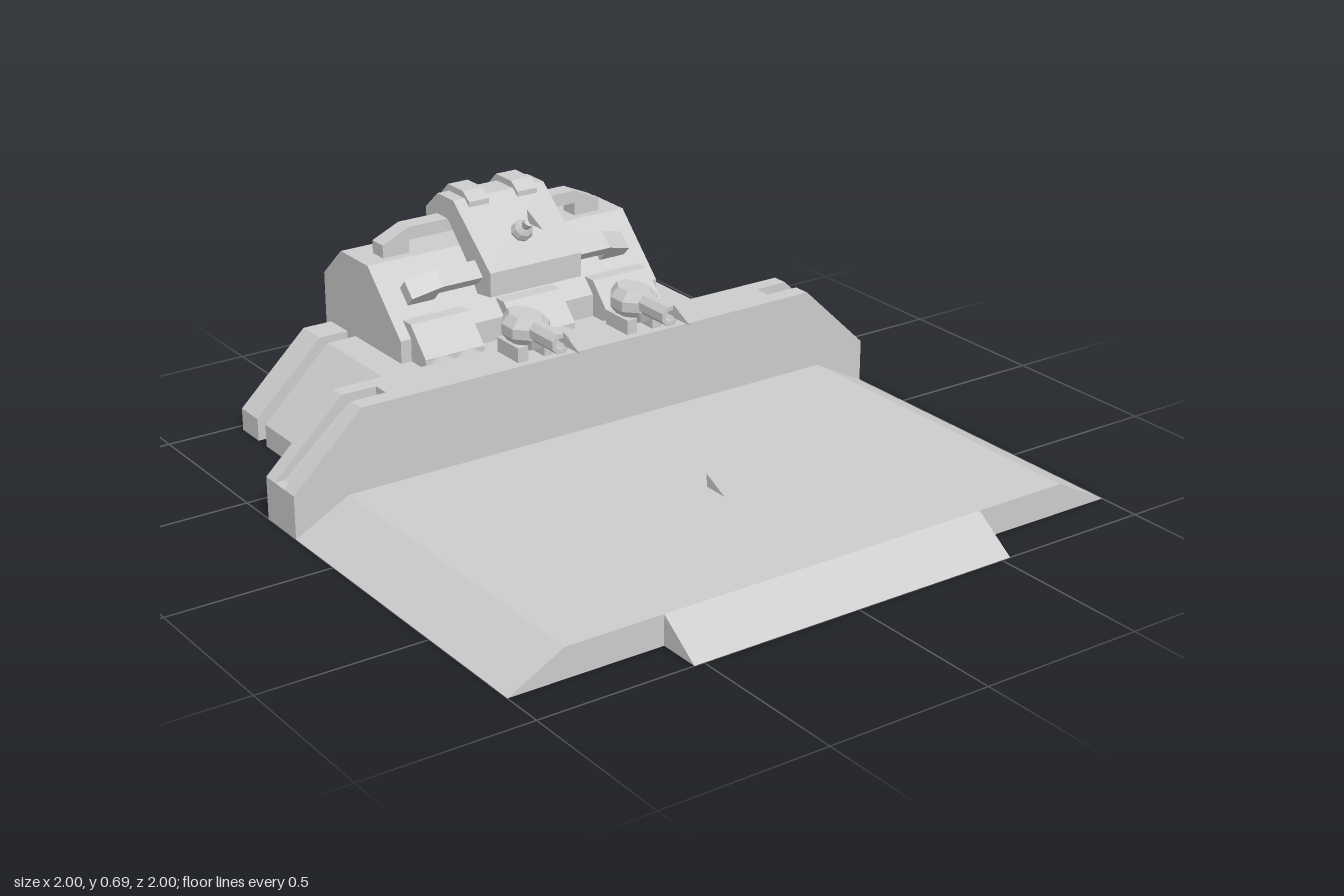
import * as THREE from 'three';

const mat = new THREE.MeshStandardMaterial({ color: 0xcccccc, flatShading: true, side: THREE.DoubleSide });
const smooth = new THREE.MeshStandardMaterial({ color: 0xcccccc, side: THREE.DoubleSide });
const shape = (pts) => new THREE.Shape(pts.map(([a, b]) => new THREE.Vector2(a, b)));
const mirror = (half) => [...half, ...half.map(([x, y]) => [-x, y]).reverse()];

// Profile in (x, y), extruded from z0 to z1
function alongZ(pts, z0, z1) {
  return new THREE.ExtrudeGeometry(shape(pts), { depth: z1 - z0, bevelEnabled: false }).translate(0, 0, z0);
}

// Profile in (z, y), extruded from x0 to x1
function alongX(pts, x0, x1) {
  return new THREE.ExtrudeGeometry(shape(pts), { depth: x1 - x0, bevelEnabled: false })
    .rotateY(-Math.PI / 2).translate(x1, 0, 0);
}

// Flat panel in the xy plane at depth z
const panel = (pts, z) => new THREE.ShapeGeometry(shape(pts)).translate(0, 0, z);

// Leaves out every triangle whose three corners satisfy one of the tests
function without(geo, ...tests) {
  const p = geo.getAttribute('position').array, kept = [];
  for (let i = 0; i < p.length; i += 9) {
    const tri = [0, 3, 6].map((k) => new THREE.Vector3(p[i + k], p[i + k + 1], p[i + k + 2]));
    if (!tests.some((t) => tri.every(t))) kept.push(...p.slice(i, i + 9));
  }
  const out = new THREE.BufferGeometry();
  out.setAttribute('position', new THREE.Float32BufferAttribute(kept, 3));
  out.computeVertexNormals();
  return out;
}
const near = (a, b) => Math.abs(a - b) < 0.001;
const onGround = (v) => near(v.y, 0);
const atZ = (z) => (v) => near(v.z, z);

function add(parent, name, geo, material = mat) {
  const mesh = new THREE.Mesh(geo, material);
  mesh.name = name;
  parent.add(mesh);
  return mesh;
}

function group(parent, name) {
  const g = new THREE.Group();
  g.name = name;
  parent.add(g);
  return g;
}

// Small flat arrow marker standing in the yz plane
function marker(parent, x, y, z) {
  const m = add(parent, 'marker', new THREE.ShapeGeometry(shape([[0.045, 0], [-0.035, 0], [-0.04, 0.04]])).rotateY(-Math.PI / 2));
  m.position.set(x, y, z);
}

// Landing platform with sloped sides and an entry ramp, hollow underneath
function buildPlatform(root) {
  const g = group(root, 'platform');
  add(g, 'slab', without(alongZ(mirror([[1, 0], [0.83, 0.09]]), -0.21, 0.87), onGround, atZ(-0.21)));
  add(g, 'ramp', without(alongX([[0.87, 0], [1, 0], [0.87, 0.09]], -0.53, 0.53), onGround, atZ(0.87)));
  marker(g, 0, 0.1, 0.37);
}

// Cross wall with a shallow groove down each sloped shoulder
function buildWall(root) {
  const g = group(root, 'crossWall');
  const outer = mirror([[1, 0], [1, 0.13], [0.78, 0.34]]);
  const grooved = mirror([[1, 0], [1, 0.13], [0.97, 0.13], [0.76, 0.31], [0.67, 0.31], [0.67, 0.34]]);
  const strip = [[1, 0.13], [0.78, 0.34], [0.67, 0.34], [0.67, 0.31], [0.76, 0.31], [0.97, 0.13]];
  for (const [pts, z0, z1] of [[outer, -0.265, -0.21], [grooved, -0.32, -0.265], [outer, -0.37, -0.32]]) {
    add(g, 'wallShell', without(alongZ(pts, z0, z1), onGround, atZ(z0), atZ(z1)));
  }
  add(g, 'wallFront', panel(outer, -0.21));
  // The back stays open where the side blocks join
  const notch = [[0.77, 0], [0.77, 0.07], [0.55, 0.28]];
  add(g, 'wallBack', panel([[1, 0], [1, 0.13], [0.78, 0.34], [-0.78, 0.34], [-1, 0.13], [-1, 0],
    ...mirror(notch).reverse()], -0.37));
  for (const s of [1, -1]) {
    for (const z of [-0.265, -0.32]) add(g, 'grooveSide', panel(strip.map(([x, y]) => [s * x, y]), z));
  }
}

// Rear housing with deck and stepped side blocks
function buildHousing(root) {
  const g = group(root, 'housing');
  add(g, 'housingShell', without(alongX([[-1, 0], [-1, 0.43], [-0.89, 0.53], [-0.73, 0.53], [-0.55, 0.35],
    [-0.55, 0.28], [-0.37, 0.28], [-0.37, 0]], -0.455, 0.455), onGround, atZ(-0.37)));
  for (const s of [1, -1]) {
    const pts = [[0.455, 0], [0.77, 0], [0.77, 0.07], [0.55, 0.28], [0.455, 0.28]].map(([x, y]) => [s * x, y]);
    const inner = (v) => near(v.x, s * 0.455);
    add(g, 'sideBlock', without(alongZ(pts, -0.82, -0.37), onGround, inner, atZ(-0.37)));
    add(g, 'rearSideBlock', without(alongZ(pts, -0.97, -0.87), onGround, inner));
  }
  // Three intakes, each fed by a pair of half-sunk pipes
  for (const [x, w] of [[-0.32, 0.1], [0, 0.1], [0.32, 0.1]]) {
    add(g, 'intake', alongX([[-0.6, 0.28], [-0.47, 0.28], [-0.47, 0.31], [-0.55, 0.395], [-0.6, 0.395]], x - w, x + w));
    for (const s of [-1, 1]) {
      const pipe = add(g, 'pipe', new THREE.CylinderGeometry(0.045, 0.045, 0.1, 16).rotateX(Math.PI / 2), smooth);
      pipe.scale.y = 0.67;
      pipe.position.set(x + s * 0.045, 0.28, -0.42);
    }
  }
}

// Hood over the housing, held by bent arms, with clamps and a small nozzle
function buildHood(root) {
  const g = group(root, 'hood');
  add(g, 'hoodBody', alongX([[-0.6, 0.42], [-0.525, 0.43], [-0.525, 0.505], [-0.725, 0.675], [-0.815, 0.675],
    [-0.885, 0.615], [-0.885, 0.555], [-0.83, 0.555], [-0.83, 0.61], [-0.76, 0.61], [-0.66, 0.51]], -0.16, 0.16));
  for (const s of [1, -1]) {
    add(g, 'clamp', alongX([[-0.7, 0.64], [-0.7, 0.67], [-0.735, 0.695], [-0.82, 0.695], [-0.89, 0.63],
      [-0.89, 0.555], [-0.86, 0.555], [-0.86, 0.62], [-0.81, 0.655], [-0.74, 0.655]], s * 0.085 - 0.035, s * 0.085 + 0.035));
    const bar = [[0.385, 0], [0.385, 0.04], [0.295, 0.08], [0.14, 0.08], [0.14, 0.04], [0.295, 0.04], [0.295, 0]]
      .map(([x, y]) => [s * x, y]);
    add(g, 'upperArm', alongZ(bar, -0.03, 0.03)).position.set(0, 0.53, -0.79);
    const lower = add(g, 'lowerArm', alongZ(bar, -0.03, 0.03));
    lower.rotation.x = Math.PI / 4;
    lower.position.set(0, 0.445, -0.645);
  }
  const nozzle = group(g, 'nozzle');
  nozzle.position.set(0, 0.585, -0.6);
  nozzle.rotation.x = Math.PI / 4;
  add(nozzle, 'nozzleBall', new THREE.SphereGeometry(0.034, 8, 6));
  add(nozzle, 'nozzleTip', new THREE.CylinderGeometry(0.015, 0.015, 0.05, 8)).position.y = 0.03;
  marker(g, 0, 0.62, -0.53);
}

// Pair of small turrets on the cross wall
function buildTurret(root, x) {
  const g = group(root, 'turret');
  g.position.set(x, 0, -0.29);
  for (const s of [1, -1]) {
    add(g, 'turretLeg', new THREE.BoxGeometry(0.035, 0.05, 0.11)).position.set(s * 0.045, 0.36, 0);
  }
  add(g, 'turretBase', new THREE.CylinderGeometry(0.065, 0.05, 0.05, 8).rotateY(Math.PI / 8)).position.y = 0.39;
  // Body: long octagonal plan, narrowing towards top and bottom
  const rings = [[0.37, 0.6], [0.405, 1], [0.435, 1], [0.462, 0.62]];
  const plan = mirror([[0.027, -0.08], [0.064, -0.03], [0.064, 0.03], [0.027, 0.07]]);
  const pos = [], idx = [];
  for (const [y, k] of rings) for (const [px, pz] of plan) pos.push(px * k, y, pz * (0.5 + 0.5 * k));
  for (let r = 0; r < 3; r++) for (let i = 0; i < 8; i++) {
    const a = r * 8 + i, b = r * 8 + (i + 1) % 8;
    idx.push(a, a + 8, b, b, a + 8, b + 8);
  }
  for (let i = 1; i < 7; i++) idx.push(0, i, i + 1, 24, 24 + i + 1, 24 + i);
  const body = new THREE.BufferGeometry();
  body.setAttribute('position', new THREE.Float32BufferAttribute(pos, 3));
  body.setIndex(idx);
  body.computeVertexNormals();
  add(g, 'turretBody', body);
  // Hollow barrel
  const ring = [[0.018, -0.08], [0.032, -0.08], [0.032, 0.08], [0.018, 0.08], [0.018, -0.08]].map(([r, y]) => new THREE.Vector2(r, y));
  add(g, 'barrel', new THREE.LatheGeometry(ring, 8).rotateY(Math.PI / 8).rotateX(Math.PI / 2)).position.set(0, 0.427, 0.105);
  marker(g, 0, 0.427, 0.235);
}

export function createModel() {
  const root = new THREE.Group();
  root.name = 'landingStation';
  buildPlatform(root);
  buildWall(root);
  buildHousing(root);
  buildHood(root);
  for (const x of [-0.19, 0.19]) buildTurret(root, x);
  return root;
}
